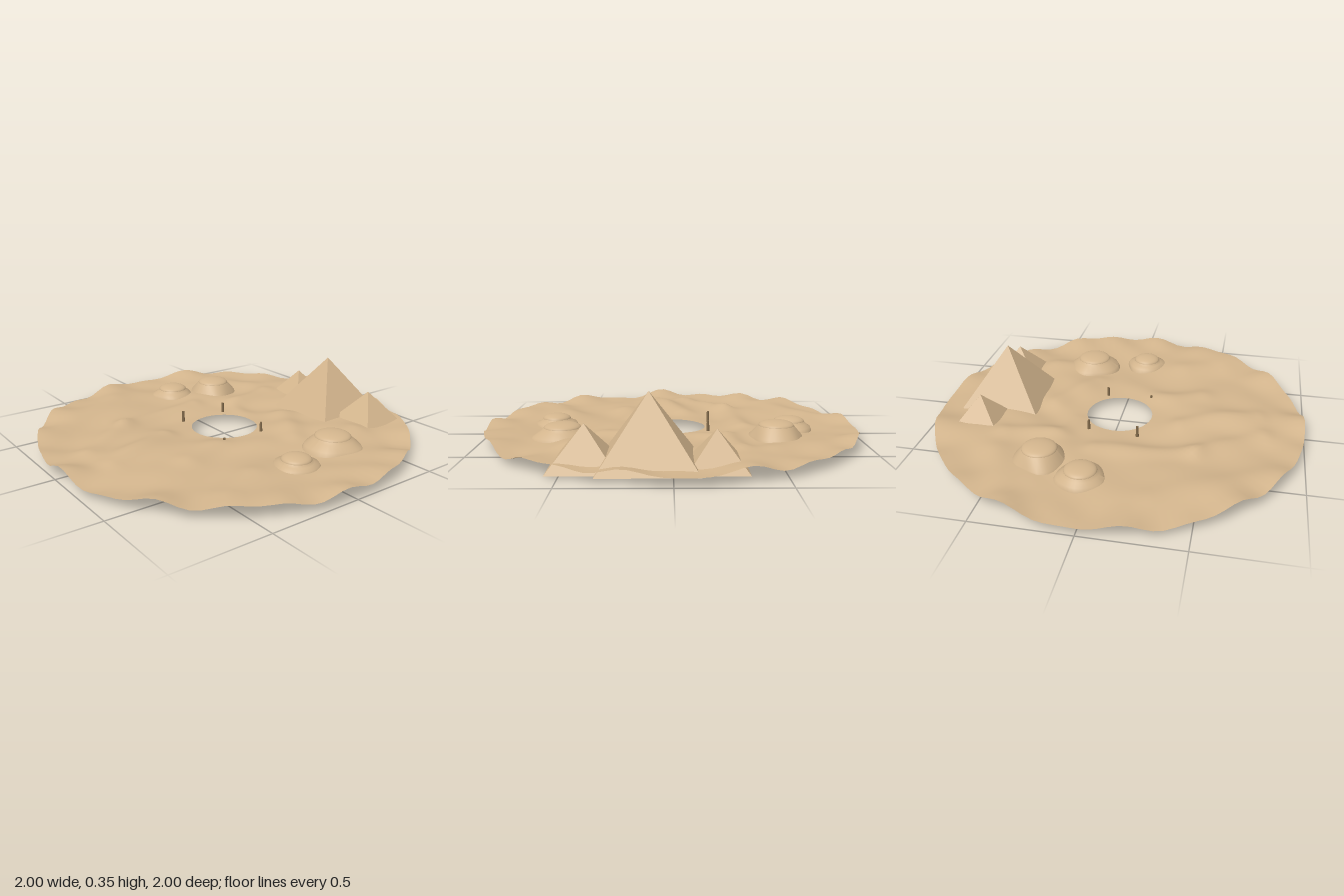
import * as THREE from 'three';

const sand = new THREE.MeshStandardMaterial({ color: 0xd2b48c, side: THREE.DoubleSide });
sand.name = 'sand';
const darkWood = new THREE.MeshStandardMaterial({ color: 0x80694a });
darkWood.name = 'dark wood';

// Dune crests: start x, z, end x, z, height, width
const crests = [
  [-0.38, -0.05, -0.32, 0.45, 0.022, 0.06], [-0.32, 0.45, -0.1, 0.78, 0.022, 0.06],
  [-0.06, 0.35, 0.1, 0.75, 0.026, 0.07], [0.2, 0.2, 0.28, 0.42, 0.026, 0.08],
  [-0.32, -0.55, -0.27, -0.32, 0.024, 0.06], [-0.27, -0.25, -0.1, -0.2, 0.016, 0.05],
  [0.05, -0.38, 0.35, -0.2, 0.022, 0.07], [0.5, -0.5, 0.52, -0.35, 0.02, 0.07],
  [-0.75, 0.3, -0.5, 0.72, 0.02, 0.09], [0.6, 0.3, 0.68, 0.5, 0.022, 0.09],
  [-0.85, -0.4, -0.5, -0.55, 0.02, 0.08],
];

function dunes(x, z) {
  const wx = x + 0.06 * Math.sin(5 * z + 1), wz = z + 0.06 * Math.sin(6 * x);
  let h = 0.049 + 0.007 * Math.sin(9 * wx + 2 * wz) + 0.006 * Math.sin(11 * wz - 4 * wx + 2)
    + 0.004 * Math.sin(19 * wx + 13 * wz);
  for (const [ax, az, bx, bz, height, width] of crests) {
    const dx = bx - ax, dz = bz - az;
    const t = THREE.MathUtils.clamp(((x - ax) * dx + (z - az) * dz) / (dx * dx + dz * dz), 0, 1);
    const d = Math.hypot(x - ax - t * dx, z - az - t * dz) / width;
    h += height * Math.exp(-d * d);
  }
  // Pointed waves along the outer rim
  const r = Math.hypot(x, z), a = Math.atan2(z, x);
  const rim = THREE.MathUtils.smoothstep(r, 0.8, 1);
  h += rim * (0.013 * Math.sin(13 * a + 1) + 0.009 * Math.sin(22 * a) + 0.007);
  // Calmer ground beside the hole
  h = THREE.MathUtils.lerp(0.042, h, THREE.MathUtils.smoothstep(r, 0.12, 0.35));
  return THREE.MathUtils.clamp(h, 0.026, 0.1);
}

function makeGround() {
  const geo = new THREE.RingGeometry(0.18, 1, 128, 36).rotateX(-Math.PI / 2);
  const p = geo.attributes.position;
  for (let i = 0; i < p.count; i++) p.setY(i, dunes(p.getX(i), p.getZ(i)));
  geo.computeVertexNormals();
  // Match the normals where the ring closes
  const n = geo.attributes.normal;
  for (let row = 0; row <= 36; row++) {
    const a = row * 129, b = a + 128;
    const v = new THREE.Vector3(n.getX(a) + n.getX(b), n.getY(a) + n.getY(b), n.getZ(a) + n.getZ(b)).normalize();
    n.setXYZ(a, v.x, v.y, v.z);
    n.setXYZ(b, v.x, v.y, v.z);
  }
  const mesh = new THREE.Mesh(geo, sand);
  mesh.name = 'duneGround';
  return mesh;
}

function makePyramid(name, x, z, half, top) {
  const base = 0.012, height = top - base;
  const geo = new THREE.ConeGeometry(half * Math.SQRT2, height, 4).rotateY(Math.PI / 4).toNonIndexed();
  geo.computeVertexNormals();
  const mesh = new THREE.Mesh(geo, sand);
  mesh.name = name;
  mesh.position.set(x, base + height / 2, z);
  return mesh;
}

// Flared open rock skirt with a shallow domed cap
function makeRock(name, x, z, radius, capRadius, top, phase) {
  const group = new THREE.Group();
  group.name = name;
  group.position.set(x, 0, z);
  const shoulder = top - 0.028;
  const profile = [
    [radius * 1.1, 0.012], [radius * 1.06, 0.035], [radius * 0.97, 0.06],
    [capRadius * 1.12, shoulder - 0.012], [capRadius * 0.97, shoulder + 0.004],
  ].map(([r, y]) => new THREE.Vector2(r, y));
  const geo = new THREE.LatheGeometry(profile, 32);
  const p = geo.attributes.position;
  for (let i = 0; i < p.count; i++) {
    const a = Math.atan2(p.getZ(i), p.getX(i));
    const low = THREE.MathUtils.smoothstep(shoulder - p.getY(i), 0, 0.05);
    const k = 1 + low * (0.05 * Math.sin(3 * a + phase) + 0.03 * Math.sin(5 * a - phase));
    p.setX(i, p.getX(i) * k);
    p.setZ(i, p.getZ(i) * k);
  }
  geo.computeVertexNormals();
  const skirt = new THREE.Mesh(geo, sand);
  skirt.name = 'rockSkirt';
  const cap = new THREE.Mesh(
    new THREE.SphereGeometry(capRadius, 32, 10, 0, Math.PI * 2, 0, Math.PI / 2), sand);
  cap.name = 'rockCap';
  cap.scale.y = 0.028 / capRadius;
  cap.position.y = shoulder;
  group.add(skirt, cap);
  return group;
}

export function createModel() {
  const model = new THREE.Group();
  model.name = 'desertRing';
  model.add(makeGround());

  model.add(
    makePyramid('largePyramid', 0.11, -0.67, 0.232, 0.35),
    makePyramid('leftRearPyramid', 0.4, -0.705, 0.16, 0.21),
    makePyramid('rightRearPyramid', -0.195, -0.73, 0.14, 0.19),
  );

  model.add(
    makeRock('rightBackRock', -0.525, -0.3, 0.135, 0.09, 0.14, 0),
    makeRock('rightFrontRock', -0.63, -0.065, 0.12, 0.082, 0.114, 1.5),
    makeRock('leftBackRock', 0.56, -0.275, 0.148, 0.095, 0.126, 3),
    makeRock('leftFrontRock', 0.638, 0.045, 0.113, 0.076, 0.108, 4.5),
  );

  // Small posts around the hole: x, z, base height
  for (const [x, z, y] of [[-0.19, -0.13, 0.03], [0.19, -0.105, 0.03], [-0.205, 0.135, 0.03], [0.195, 0.145, 0]]) {
    const post = new THREE.Mesh(new THREE.CylinderGeometry(0.006, 0.009, 0.07, 8), darkWood);
    post.name = 'post';
    post.position.set(x, y + 0.035, z);
    model.add(post);
  }
  return model;
}
